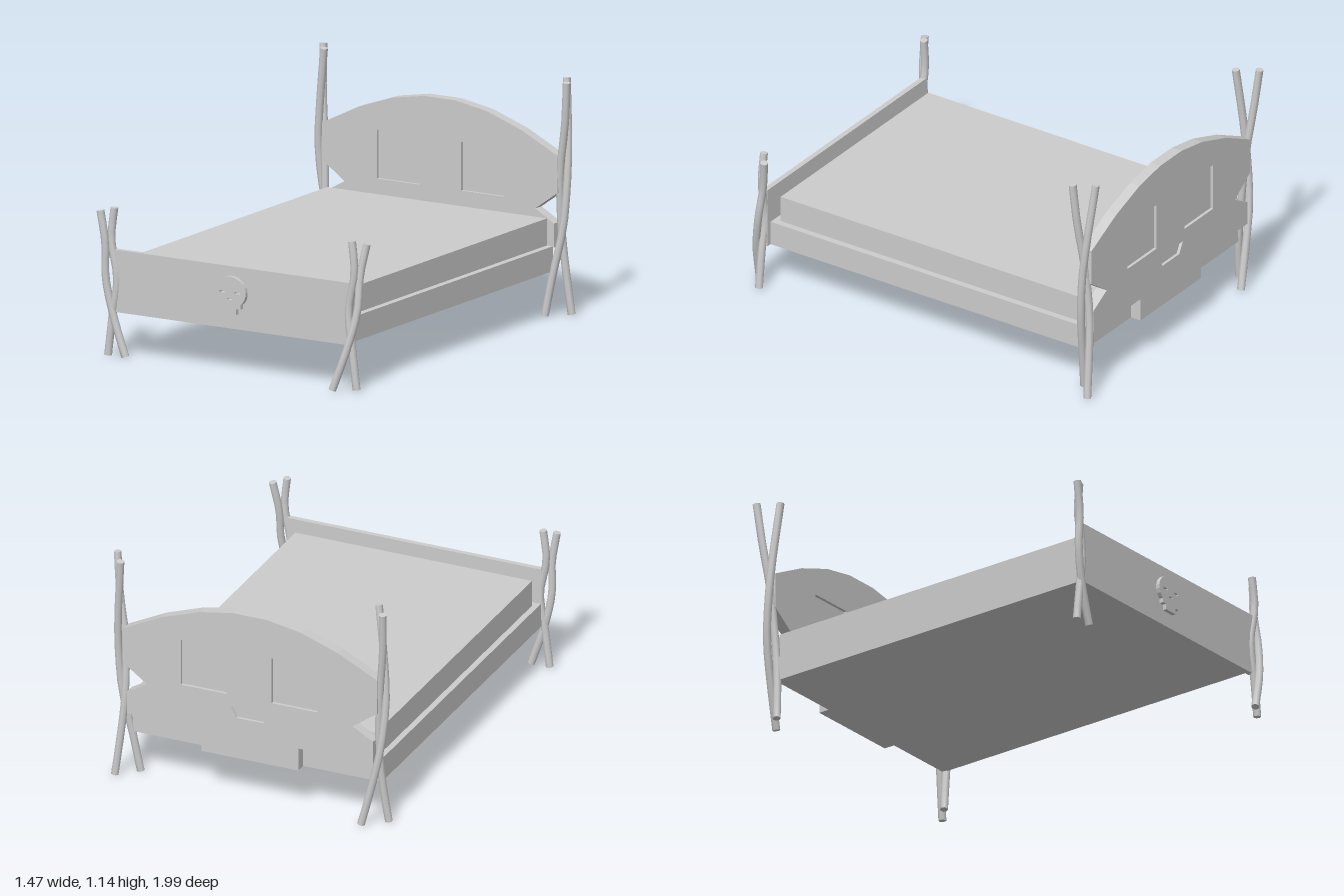
import * as THREE from 'three';
import { toCreasedNormals } from 'three/addons/utils/BufferGeometryUtils.js';

const material = new THREE.MeshStandardMaterial({ color: 0xcccccc });

function addMesh(parent, name, geometry) {
  const mesh = new THREE.Mesh(geometry, material);
  mesh.name = name;
  parent.add(mesh);
  return mesh;
}

// Box given by its lower and upper corners
function addBox(parent, name, [x0, y0, z0], [x1, y1, z1]) {
  const mesh = addMesh(parent, name, new THREE.BoxGeometry(x1 - x0, y1 - y0, z1 - z0));
  mesh.position.set((x0 + x1) / 2, (y0 + y1) / 2, (z0 + z1) / 2);
}

const toVectors = (points) => points.map(([x, y]) => new THREE.Vector2(x, y));

// Closed outline from its right half, listed from top to bottom
function mirrored(half) {
  return [...half.map(([x, y]) => [-x, y]), ...half.slice().reverse()];
}

function plate(outline, holes, z, depth) {
  const shape = new THREE.Shape(toVectors(outline));
  holes.forEach((h) => shape.holes.push(new THREE.Path(toVectors(h))));
  return new THREE.ExtrudeGeometry(shape, { depth, bevelEnabled: false }).translate(0, 0, z);
}

const rect = (x0, y0, x1, y1) => [[x0, y0], [x1, y0], [x1, y1], [x0, y1]];

// Bent round branch with capped ends
function branch(points) {
  const path = new THREE.CatmullRomCurve3(points.map((p) => new THREE.Vector3(...p)));
  const ring = Array.from({ length: 8 }, (_, i) => {
    const a = (i / 8) * Math.PI * 2;
    return [0.019 * Math.cos(a), 0.019 * Math.sin(a)];
  });
  const geometry = new THREE.ExtrudeGeometry(new THREE.Shape(toVectors(ring)), { steps: 12, extrudePath: path });
  return toCreasedNormals(geometry, 0.9);
}

function addPost(parent, name, branches) {
  const post = new THREE.Group();
  post.name = name;
  branches.forEach((points) => addMesh(post, 'branch', branch(points)));
  parent.add(post);
}

export function createModel() {
  const bed = new THREE.Group();
  bed.name = 'bed';

  // Base, mattress and footboard
  addBox(bed, 'bedFrame', [-0.655, 0.21, -0.895], [0.628, 0.33, 0.9]);
  addBox(bed, 'mattress', [-0.625, 0.33, -0.895], [0.595, 0.46, 0.862]);
  addBox(bed, 'footboard', [-0.655, 0.21, 0.897], [0.655, 0.51, 0.923]);

  // Skull-shaped headboard with recessed eyes and nose
  const headOutline = mirrored([
    [0.088, 0.965], [0.26, 0.935], [0.455, 0.867], [0.655, 0.767], [0.655, 0.59],
    [0.53, 0.5], [0.635, 0.44], [0.635, 0.325], [0.25, 0.325], [0.25, 0.21],
  ]);
  const recesses = [
    rect(-0.35, 0.535, -0.112, 0.77),
    rect(0.118, 0.535, 0.356, 0.77),
    [[-0.07, 0.42], [0.07, 0.42], [0.1, 0.475], [-0.1, 0.475]],
  ];
  addMesh(bed, 'headboard', plate(headOutline, recesses, -0.95, 0.055));
  ['rightEyePanel', 'leftEyePanel', 'nosePanel'].forEach((name, i) => {
    addMesh(bed, name, plate(recesses[i], [], -0.935, 0.025));
  });

  // Small skull ornament on the footboard
  const cranium = Array.from({ length: 9 }, (_, i) => {
    const a = Math.PI / 2 - ((i + 0.5) / 9) * 2.4;
    return [0.088 * Math.cos(a), 0.388 + 0.077 * Math.sin(a)];
  });
  const ornament = mirrored([...cranium, [0.06, 0.335], [0.06, 0.312], [0.036, 0.312], [0.036, 0.284]]);
  const slits = [
    rect(-0.056, 0.384, -0.026, 0.394),
    rect(0.026, 0.384, 0.056, 0.394),
    rect(-0.013, 0.352, 0.013, 0.36),
  ];
  addMesh(bed, 'skullOrnament', plate(ornament, slits, 0.922, 0.021));

  // Corner posts: two crossing branches each
  for (const side of [-1, 1]) {
    const left = side > 0;
    const sideName = left ? 'Left' : 'Right';

    // Branch ends differ slightly between the two sides
    const innerX = left ? 0.655 : 0.635;
    const outerX = left ? 0.713 : 0.697;
    const leanBack = left
      ? [[0.6, 0, -0.87], [0.635, 0.2, -0.885], [0.678, 0.42, -0.905], [0.69, 0.62, -0.92], [0.685, 0.8, -0.94], [innerX, 1.13, -0.975]]
      : [[0.68, 0, -0.87], [0.655, 0.2, -0.885], [0.645, 0.42, -0.905], [0.66, 0.7, -0.925], [0.685, 0.92, -0.95], [outerX, 1.13, -0.975]];
    const leanFront = left
      ? [[0.695, 0, -0.953], [0.67, 0.2, -0.945], [0.65, 0.42, -0.935], [0.66, 0.7, -0.91], [0.695, 0.92, -0.895], [outerX, 1.13, -0.882]]
      : [[0.575, 0, -0.953], [0.625, 0.2, -0.945], [0.67, 0.42, -0.935], [0.685, 0.65, -0.912], [0.67, 0.85, -0.9], [innerX, 1.13, -0.882]];

    const front = [
      [[0.69, 0, 0.92], [0.665, 0.2, 0.92], [0.643, 0.37, 0.915], [0.675, 0.56, 0.915], [0.66, 0.71, 0.912]],
      [[0.595, 0, left ? 0.982 : 0.92], [0.66, 0.2, left ? 0.955 : 0.925], [0.695, 0.38, left ? 0.92 : 0.935],
        [0.693, 0.54, left ? 0.895 : 0.94], [0.717, 0.695, left ? 0.872 : 0.945]],
    ];
    const place = (list) => list.map((pts) => pts.map(([x, y, z]) => [side * x, y, z]));
    addPost(bed, 'rear' + sideName + 'Post', place([leanBack, leanFront]));
    addPost(bed, 'front' + sideName + 'Post', place(front));
  }
  return bed;
}
